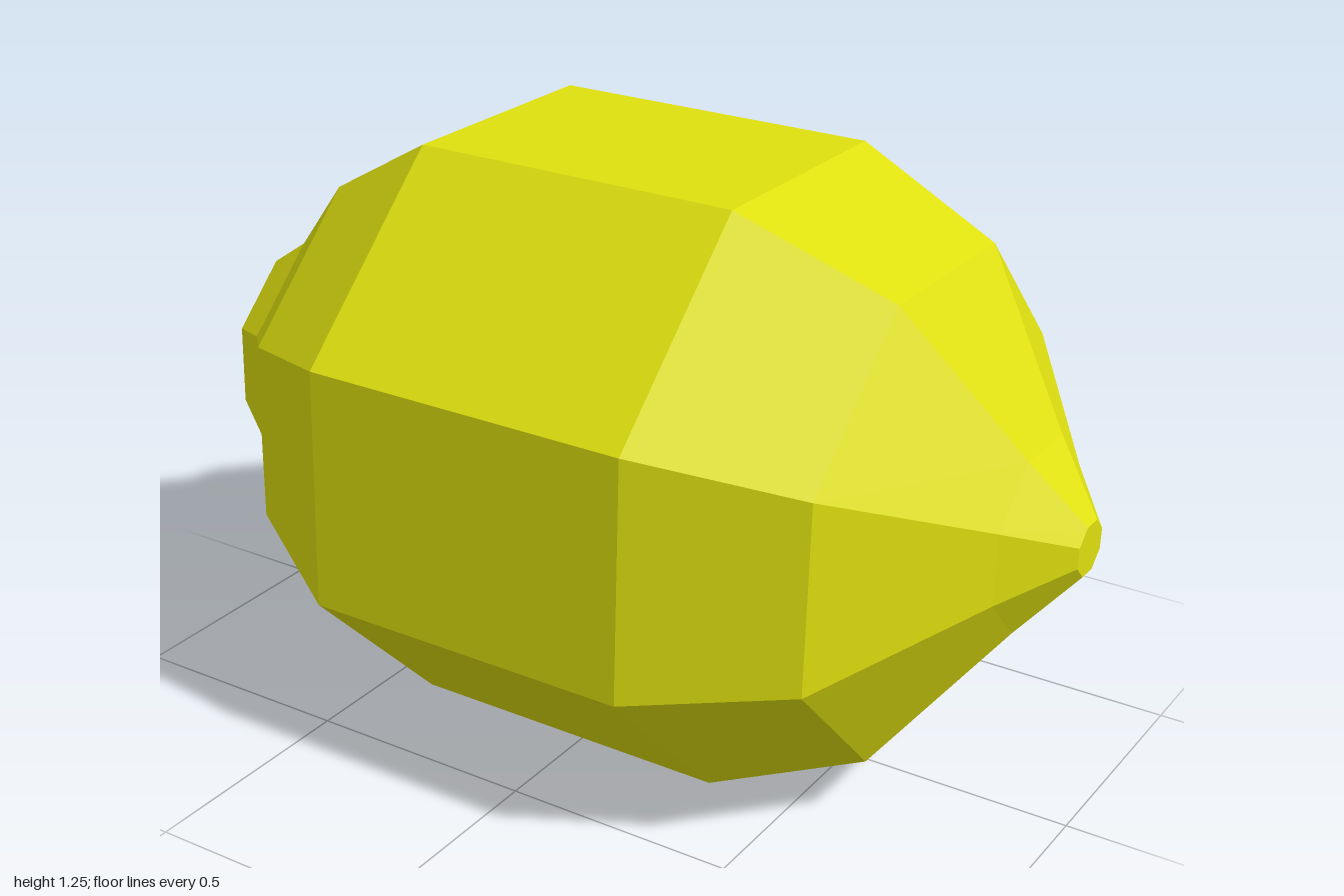
import * as THREE from 'three';

const SIDES = 8;
const TWIST = THREE.MathUtils.degToRad(23.2); // turns the facets so one faces front
const LEAN = 0.02;                            // slight lean of the rings
const AXIS_Y = 0.628;

const peel = new THREE.MeshStandardMaterial({ color: 0xdfe00f, flatShading: true });
peel.name = 'lemon yellow';

// Turned section along x from [x, radius] rings
function section(name, rings) {
  const profile = rings.map(([x, r]) => new THREE.Vector2(r, x));
  const lathe = new THREE.LatheGeometry(profile, SIDES, -TWIST);
  lathe.rotateZ(-Math.PI / 2);
  const pos = lathe.attributes.position;
  for (let i = 0; i < pos.count; i++) {
    const y = pos.getY(i);
    pos.setX(i, pos.getX(i) + LEAN * y);
    pos.setY(i, y + AXIS_Y);
  }
  const geometry = lathe.toNonIndexed();
  geometry.computeVertexNormals();
  const mesh = new THREE.Mesh(geometry, peel);
  mesh.name = name;
  return mesh;
}

export function createModel() {
  const lemon = new THREE.Group();
  lemon.name = 'lemon';
  lemon.add(
    // Knobbly rounded end on the right
    section('stemEnd', [[-0.998, 0], [-0.998, 0.095], [-0.94, 0.226], [-0.83, 0.305], [-0.66, 0.503]]),
    // Broad middle of the fruit
    section('body', [[-0.66, 0.503], [-0.385, 0.674], [0.335, 0.675], [0.66, 0.528]]),
    // Pointed end on the left
    section('pointedTip', [[0.66, 0.528], [0.89, 0.198], [0.999, 0.057], [0.999, 0]])
  );
  return lemon;
}
